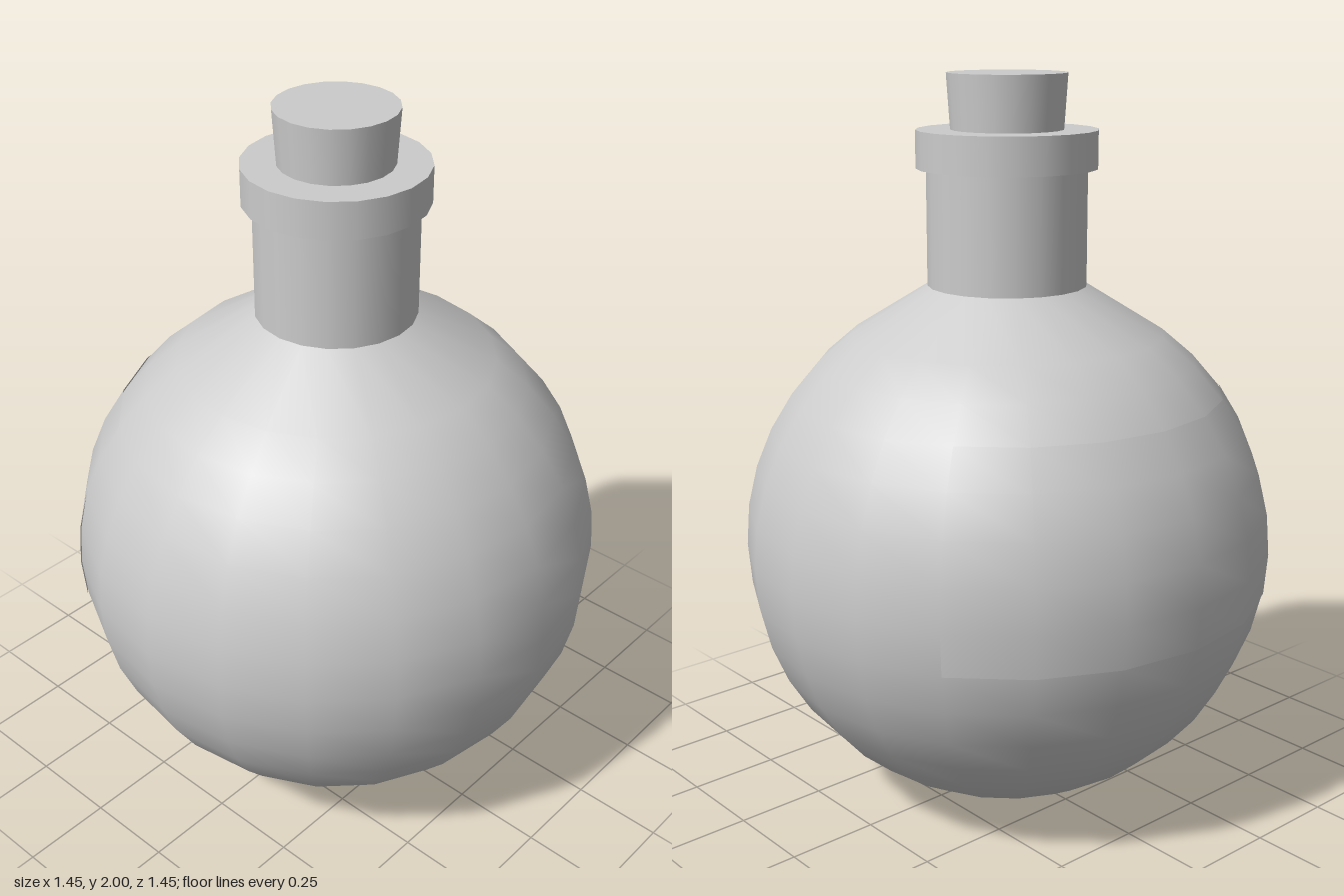
import * as THREE from 'three';

const SIDES = 20;
const RADIUS = 0.725;
const CENTER_Y = 0.728;
const rad = THREE.MathUtils.degToRad;

// Points on the round body's profile, from one latitude to another in 9 degree steps
function arcProfile(fromDeg, toDeg, radius) {
  const points = [];
  for (let a = fromDeg; a <= toDeg; a += 9) {
    points.push(new THREE.Vector2(
      Math.max(0, radius * Math.cos(rad(a))),
      CENTER_Y + radius * Math.sin(rad(a))
    ));
  }
  return points;
}

export function createModel() {
  const group = new THREE.Group();
  group.name = 'roundBottle';
  const material = new THREE.MeshStandardMaterial({ color: 0xcccccc });
  const labelMaterial = new THREE.MeshStandardMaterial({ color: 0xcccccc, side: THREE.DoubleSide });

  function add(name, geometry, mat = material) {
    const mesh = new THREE.Mesh(geometry, mat);
    mesh.name = name;
    group.add(mesh);
  }

  function addCylinder(name, bottomRadius, topRadius, y0, y1) {
    const geometry = new THREE.CylinderGeometry(topRadius, bottomRadius, y1 - y0, SIDES);
    geometry.translate(0, (y0 + y1) / 2, 0);
    add(name, geometry);
  }

  // Spherical body with a straight shoulder up to the neck
  const bodyProfile = arcProfile(-90, 54, RADIUS);
  bodyProfile.push(new THREE.Vector2(0.215, 1.445));
  add('body', new THREE.LatheGeometry(bodyProfile, SIDES));

  // Neck, lip ring and flared stopper
  addCylinder('neck', 0.215, 0.215, 1.445, 1.76);
  addCylinder('lip', 0.242, 0.242, 1.755, 1.855);
  addCylinder('stopper', 0.15, 0.16, 1.85, 2.0);

  // Thin curved label wrapped around the back
  const labelProfile = arcProfile(-9, 36, RADIUS + 0.003);
  add('label', new THREE.LatheGeometry(labelProfile, 6, rad(126), rad(108)), labelMaterial);

  return group;
}
